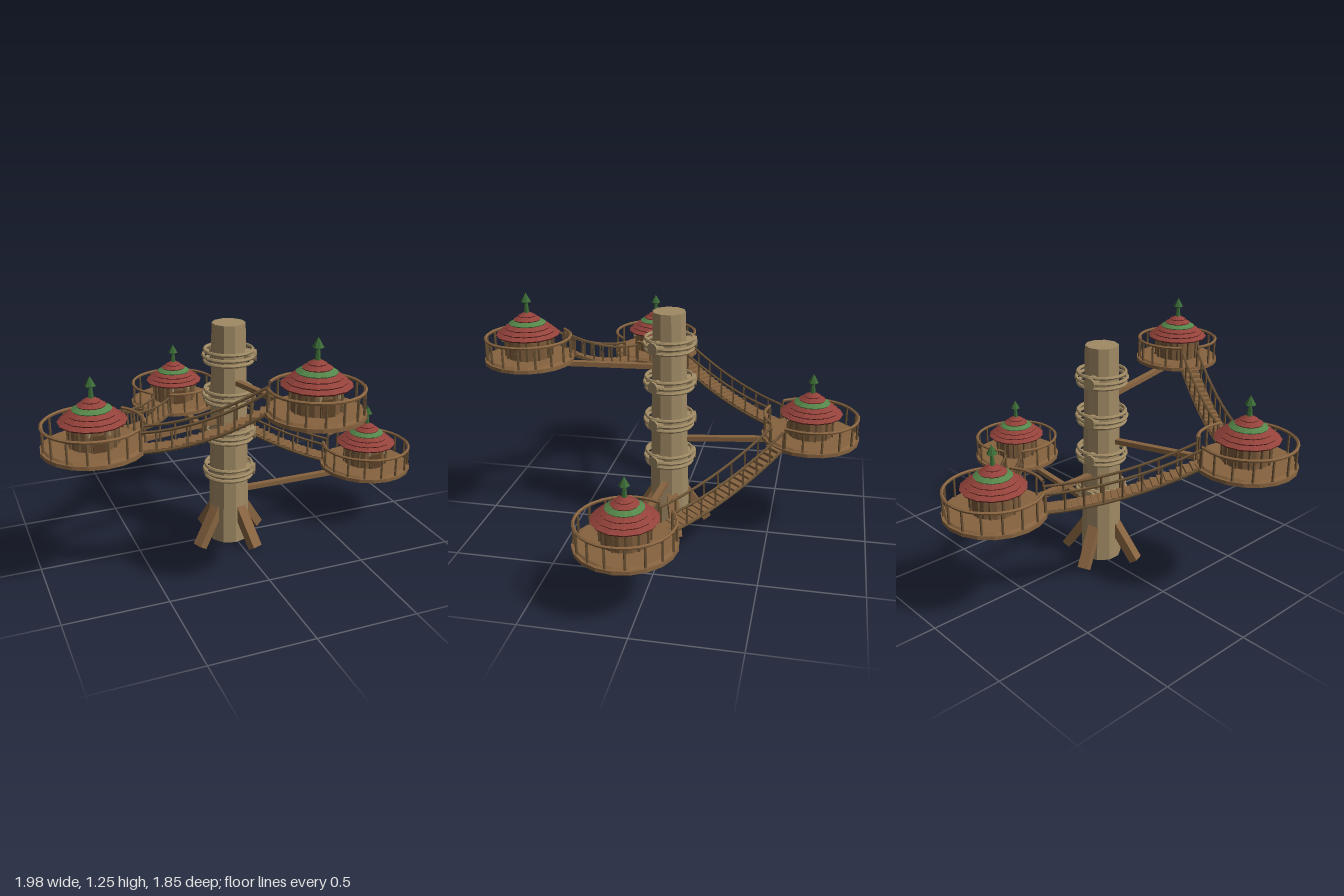
import * as THREE from 'three';

const mat = (name, color, flatShading = false) => {
  const m = new THREE.MeshStandardMaterial({ color, flatShading });
  m.name = name;
  return m;
};
const V = (x, y, z) => new THREE.Vector3(x, y, z);

export function createModel() {
  const bark = mat('pale bark', 0xa08a64, true);
  const wood = mat('brown wood', 0x87633f, true);
  const rail = mat('dark rail wood', 0x6b5234, true);
  const wall = mat('hut wall', 0x7d5c3b, true);
  const door = mat('door brown', 0x5f4329, true);
  const red = mat('red roof', 0x93423a, true);
  const darkRed = mat('dark red roof edge', 0x6e2b27, true);
  const green = mat('green roof band', 0x55864a, true);
  const leaf = mat('dark green finial', 0x3b6a36, true);

  const model = new THREE.Group();
  const add = (parent, name, geo, material, x = 0, y = 0, z = 0) => {
    const m = new THREE.Mesh(geo, material);
    m.name = name;
    m.position.set(x, y, z);
    parent.add(m);
    return m;
  };
  // Rectangular beam running from a to b
  const beam = (parent, name, a, b, w, h, material) => {
    const m = add(parent, name, new THREE.BoxGeometry(w, h, a.distanceTo(b)), material);
    m.position.copy(a).lerp(b, 0.5);
    m.lookAt(b);
    return m;
  };
  const tube = (parent, name, pts, r, material) =>
    add(parent, name, new THREE.TubeGeometry(new THREE.CatmullRomCurve3(pts), 28, r, 5), material);

  // Trunk
  const cx = -0.022, cz = 0.023;
  add(model, 'trunk', new THREE.CylinderGeometry(0.082, 0.104, 1.14, 10), bark, cx, 0.59, cz);

  // Four slanted roots around the foot
  for (let i = 0; i < 4; i++) {
    const a = 1.2 + i * Math.PI / 2, c = Math.cos(a), s = Math.sin(a);
    beam(model, 'root', V(cx + c * 0.075, 0.205, cz + s * 0.075),
      V(cx + c * 0.2, 0.018, cz + s * 0.2), 0.055, 0.045, wood);
  }

  // Rope collars with log stubs
  for (const y of [0.4, 0.6, 0.8, 1.0]) {
    const collar = new THREE.Group();
    collar.name = 'ropeCollar';
    model.add(collar);
    for (let k = -1; k <= 1; k++) {
      const ring = add(collar, 'rope', new THREE.TorusGeometry(k ? 0.118 : 0.125, 0.009, 6, 20), bark,
        cx, y + k * 0.027, cz);
      ring.rotation.x = Math.PI / 2;
    }
    for (const deg of [27, 250]) {
      const a = deg * Math.PI / 180;
      const stub = add(collar, 'logStub', new THREE.CylinderGeometry(0.03, 0.03, 0.06, 10), bark,
        cx + Math.cos(a) * 0.105, y, cz + Math.sin(a) * 0.105);
      stub.quaternion.setFromUnitVectors(V(0, 1, 0), V(Math.cos(a), 0, Math.sin(a)));
    }
  }

  // Platform positions: underside height y, deck radius r
  const decks = [
    { x: 0.75, y: 0.305, z: 0.065, r: 0.238, links: [1] },
    { x: -0.08, y: 0.525, z: -0.685, r: 0.243, links: [0, 2] },
    { x: -0.752, y: 0.707, z: 0.248, r: 0.238, links: [1, 3] },
    { x: 0.107, y: 0.91, z: 0.7, r: 0.218, links: [2] },
  ];

  const buildHut = (g) => {
    add(g, 'hutWall', new THREE.CylinderGeometry(0.113, 0.113, 0.12, 12), wall, 0, 0.085, 0);
    // Wall posts
    for (let i = 0; i < 12; i++) {
      const a = (i + 0.5) * Math.PI / 6;
      add(g, 'wallPost', new THREE.BoxGeometry(0.01, 0.12, 0.01), rail,
        Math.sin(a) * 0.112, 0.085, Math.cos(a) * 0.112);
    }
    // Arched doorway at the front
    add(g, 'door', new THREE.BoxGeometry(0.056, 0.08, 0.008), door, 0, 0.065, 0.113);
    add(g, 'doorArch', new THREE.TorusGeometry(0.045, 0.008, 5, 12, Math.PI), bark, 0, 0.104, 0.116);
    // Stepped roof
    [0.155, 0.134, 0.112, 0.09, 0.066, 0.042].forEach((r, i) => {
      const y = 0.135 + i * 0.018, band = i === 3;
      add(g, 'roofEdge', new THREE.CylinderGeometry(r, r - 0.004, 0.007, 14), band ? green : darkRed, 0, y, 0);
      add(g, 'roofTier', new THREE.CylinderGeometry(Math.max(r - 0.026, 0.012), r, 0.014, 14),
        band ? green : red, 0, y + 0.0105, 0);
    });
    // Finial
    add(g, 'finialStem', new THREE.CylinderGeometry(0.008, 0.014, 0.06, 6), leaf, 0, 0.264, 0);
    add(g, 'finialTip', new THREE.ConeGeometry(0.026, 0.045, 6), leaf, 0, 0.318, 0);
    add(g, 'finialBase', new THREE.ConeGeometry(0.026, 0.012, 6), leaf, 0, 0.29, 0).rotation.x = Math.PI;
  };

  decks.forEach((d) => {
    const g = new THREE.Group();
    g.name = 'hutPlatform';
    g.position.set(d.x, d.y, d.z);
    model.add(g);
    add(g, 'deck', new THREE.CylinderGeometry(d.r, d.r, 0.018, 20), wood, 0, 0.009, 0);
    add(g, 'deckTop', new THREE.CylinderGeometry(d.r - 0.02, d.r - 0.012, 0.009, 20), wood, 0, 0.0225, 0);
    buildHut(g);

    // Railing, open where bridges arrive
    const rr = d.r - 0.012, gap = 0.23;
    const at = (a, y) => V(Math.cos(a) * rr, y, Math.sin(a) * rr);
    const open = d.links.map((i) => Math.atan2(decks[i].z - d.z, decks[i].x - d.x)).sort((p, q) => p - q);
    open.forEach((a0, i) => {
      const last = i === open.length - 1;
      const start = a0 + gap, end = (last ? open[0] + Math.PI * 2 : open[i + 1]) - gap;
      const n = Math.max(3, Math.round((end - start) / 0.4));
      const pts = [];
      for (let k = 0; k <= n; k++) {
        const a = start + (end - start) * k / n;
        pts.push(at(a, 0.122));
        add(g, 'railPost', new THREE.CylinderGeometry(0.006, 0.006, 0.104, 5), rail,
          Math.cos(a) * rr, 0.07, Math.sin(a) * rr);
      }
      tube(g, 'handrail', pts, 0.008, wood);
    });

    // Support strut from the trunk
    beam(model, 'strut', V(cx, d.y - 0.035, cz), V(d.x, d.y - 0.008, d.z), 0.03, 0.024, wood);
  });

  // Sagging stair bridges
  const buildBridge = (p, q) => {
    const g = new THREE.Group();
    g.name = 'stairBridge';
    model.add(g);
    const dir = V(q.x - p.x, 0, q.z - p.z).normalize();
    const side = V(-dir.z, 0, dir.x);
    const a = V(p.x, p.y + 0.012, p.z).addScaledVector(dir, p.r - 0.015);
    const b = V(q.x, q.y + 0.012, q.z).addScaledVector(dir, 0.015 - q.r);
    const point = (t, off, up) => a.clone().lerp(b, t).addScaledVector(side, off)
      .add(V(0, up - 0.14 * t * (1 - t), 0));
    const run = Math.hypot(b.x - a.x, b.z - a.z), n = Math.round(run / 0.031);
    for (let i = 0; i < n; i++) {
      const c = point((i + 0.5) / n, 0, 0);
      add(g, 'step', new THREE.BoxGeometry(0.084, 0.016, run / n * 1.15), wood, c.x, c.y, c.z)
        .rotation.y = Math.atan2(dir.x, dir.z);
    }
    for (const s of [-0.042, 0.042]) {
      const low = [], high = [];
      for (let k = 0; k <= 8; k++) {
        low.push(point(k / 8, s, -0.004));
        high.push(point(k / 8, s, 0.09));
        beam(g, 'bridgePost', low[k], high[k], 0.008, 0.008, rail);
      }
      tube(g, 'stringer', low, 0.007, rail);
      tube(g, 'bridgeRail', high, 0.007, rail);
    }
  };
  for (let i = 0; i < 3; i++) buildBridge(decks[i], decks[i + 1]);

  return model;
}
